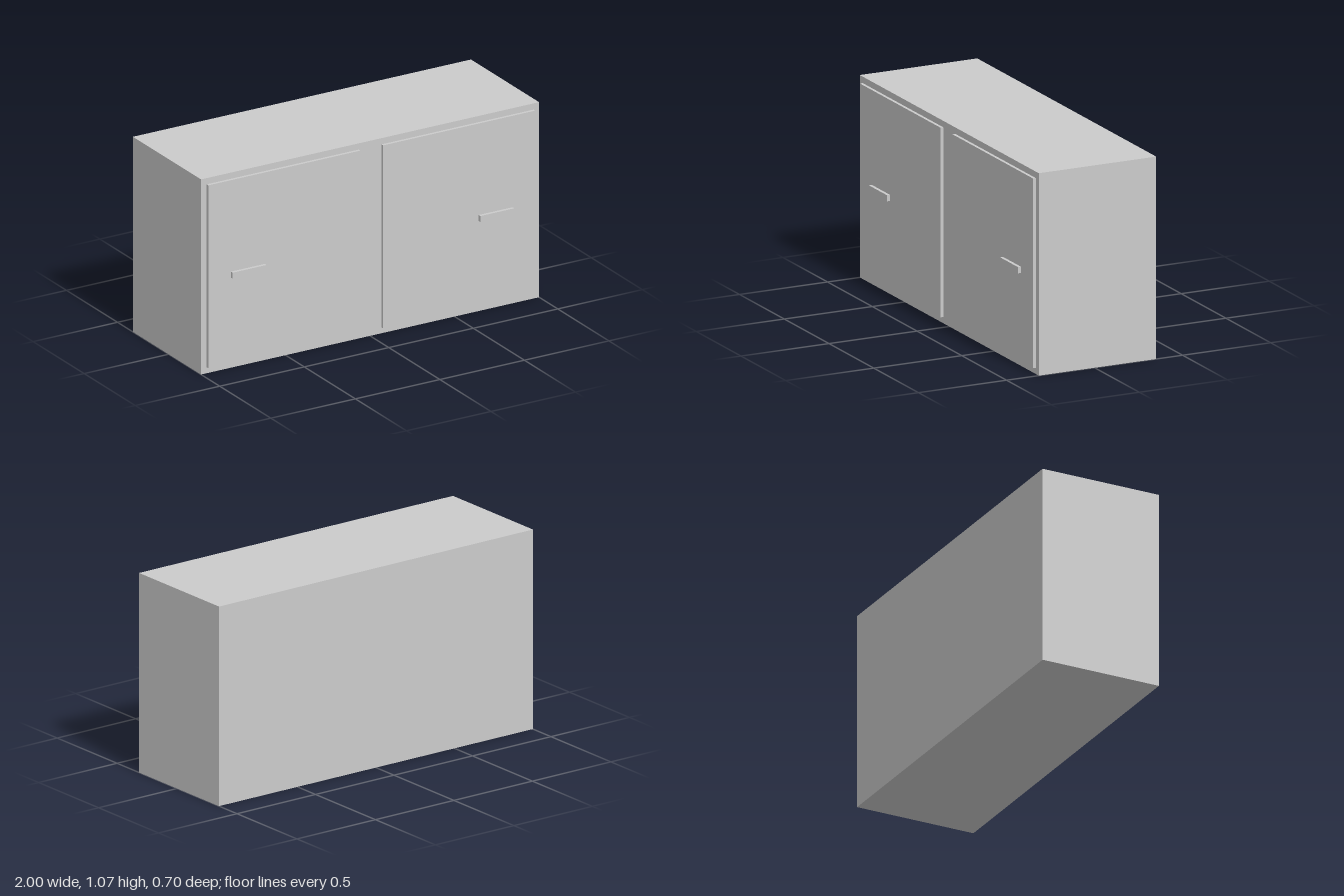
import * as THREE from 'three';

const material = new THREE.MeshStandardMaterial({ color: 0xcccccc, flatShading: true });

// Box given by its min and max corners
function box(name, [x0, y0, z0], [x1, y1, z1]) {
  const mesh = new THREE.Mesh(new THREE.BoxGeometry(x1 - x0, y1 - y0, z1 - z0), material);
  mesh.position.set((x0 + x1) / 2, (y0 + y1) / 2, (z0 + z1) / 2);
  mesh.name = name;
  return mesh;
}

export function createModel() {
  const group = new THREE.Group();
  group.name = 'cabinet';

  const front = 0.317; // front plane of the body
  const doorFront = 0.333;

  // Cabinet body
  group.add(box('body', [-1, 0, -0.35], [1, 1.067, front]));

  // Mirrored pair of doors, each with a bar handle near its outer edge
  for (const [side, s] of [['left', 1], ['right', -1]]) {
    const span = (a, b) => (s > 0 ? [a, b] : [-b, -a]);
    const [d0, d1] = span(0.067, 0.967);
    const [h0, h1] = span(0.633, 0.833);
    group.add(box(side + 'Door', [d0, 0.033, front], [d1, 1.033, doorFront]));
    group.add(box(side + 'Handle', [h0, 0.5, doorFront], [h1, 0.533, 0.35]));
  }

  return group;
}
